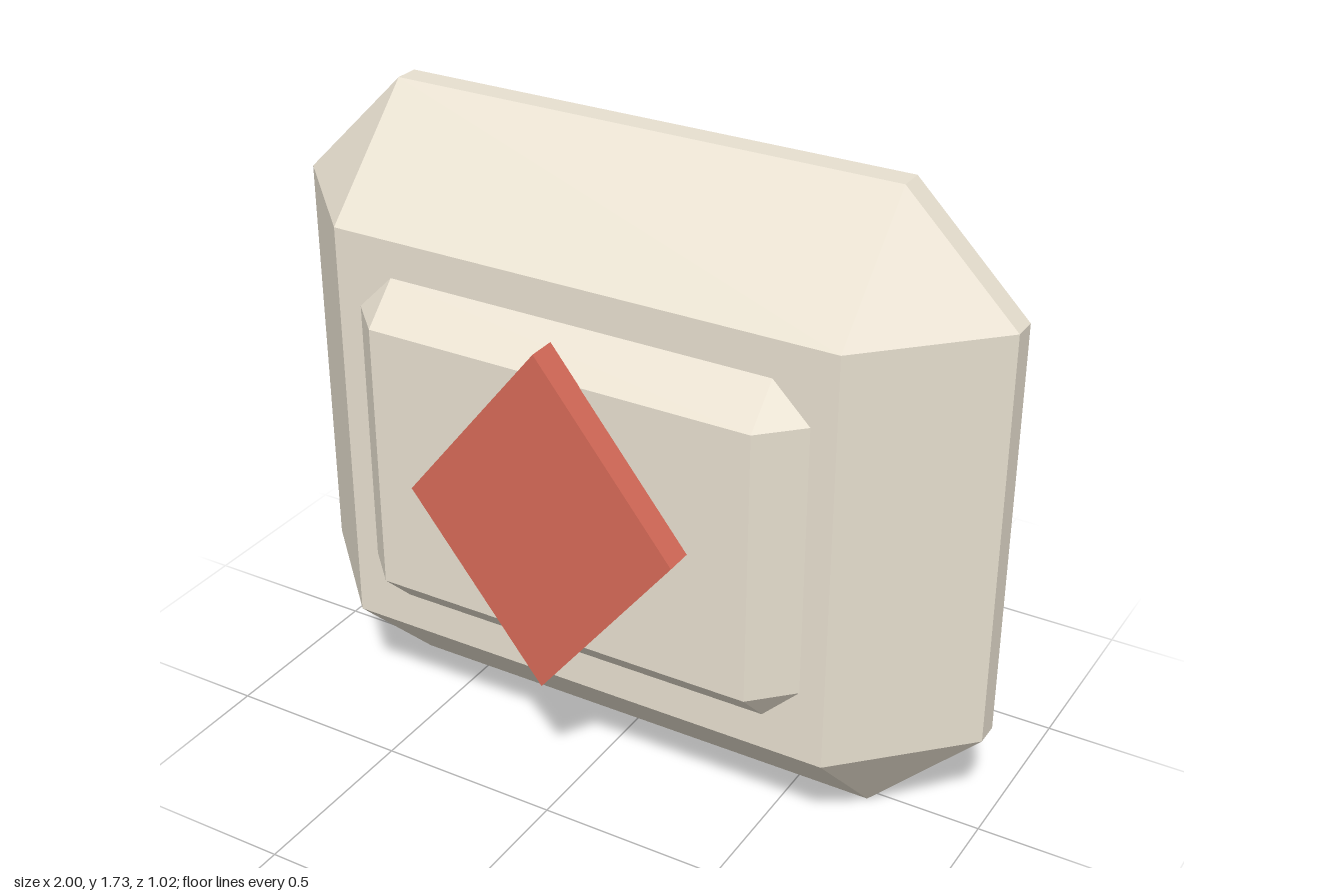
import * as THREE from 'three';
import { ConvexGeometry } from 'three/addons/geometries/ConvexGeometry.js';

const CENTER_Y = 0.867;

// Box with every edge and corner cut flat by the same chamfer
function chamferedBox(hx, hy, hz, c) {
  const points = [];
  for (const sx of [-1, 1]) for (const sy of [-1, 1]) for (const sz of [-1, 1]) {
    points.push(
      new THREE.Vector3(sx * hx, sy * (hy - c), sz * (hz - c)),
      new THREE.Vector3(sx * (hx - c), sy * hy, sz * (hz - c)),
      new THREE.Vector3(sx * (hx - c), sy * (hy - c), sz * hz)
    );
  }
  return new ConvexGeometry(points);
}

export function createModel() {
  const model = new THREE.Group();
  const cream = new THREE.MeshStandardMaterial({ color: 0xe8e0d0, flatShading: true });
  const red = new THREE.MeshStandardMaterial({ color: 0xd66a58, flatShading: true });

  const add = (name, geometry, material, z = 0) => {
    const mesh = new THREE.Mesh(geometry, material);
    mesh.name = name;
    mesh.position.set(0, CENTER_Y, z);
    model.add(mesh);
  };

  // Main block and the smaller raised panel passing through it
  add('body', chamferedBox(1, 0.867, 0.333, 0.3), cream);
  add('raisedPanel', chamferedBox(0.633, 0.467, 0.433, 0.1), cream);

  // Diamond plates on the front and back faces
  const diamond = new THREE.Shape([
    new THREE.Vector2(0.372, 0),
    new THREE.Vector2(0, 0.467),
    new THREE.Vector2(-0.372, 0),
    new THREE.Vector2(0, -0.467)
  ]);
  const depth = 0.077;
  const plate = new THREE.ExtrudeGeometry(diamond, { depth, bevelEnabled: false });
  plate.translate(0, 0, -depth / 2);
  add('frontDiamond', plate, red, 0.47);
  add('backDiamond', plate, red, -0.47);

  return model;
}
